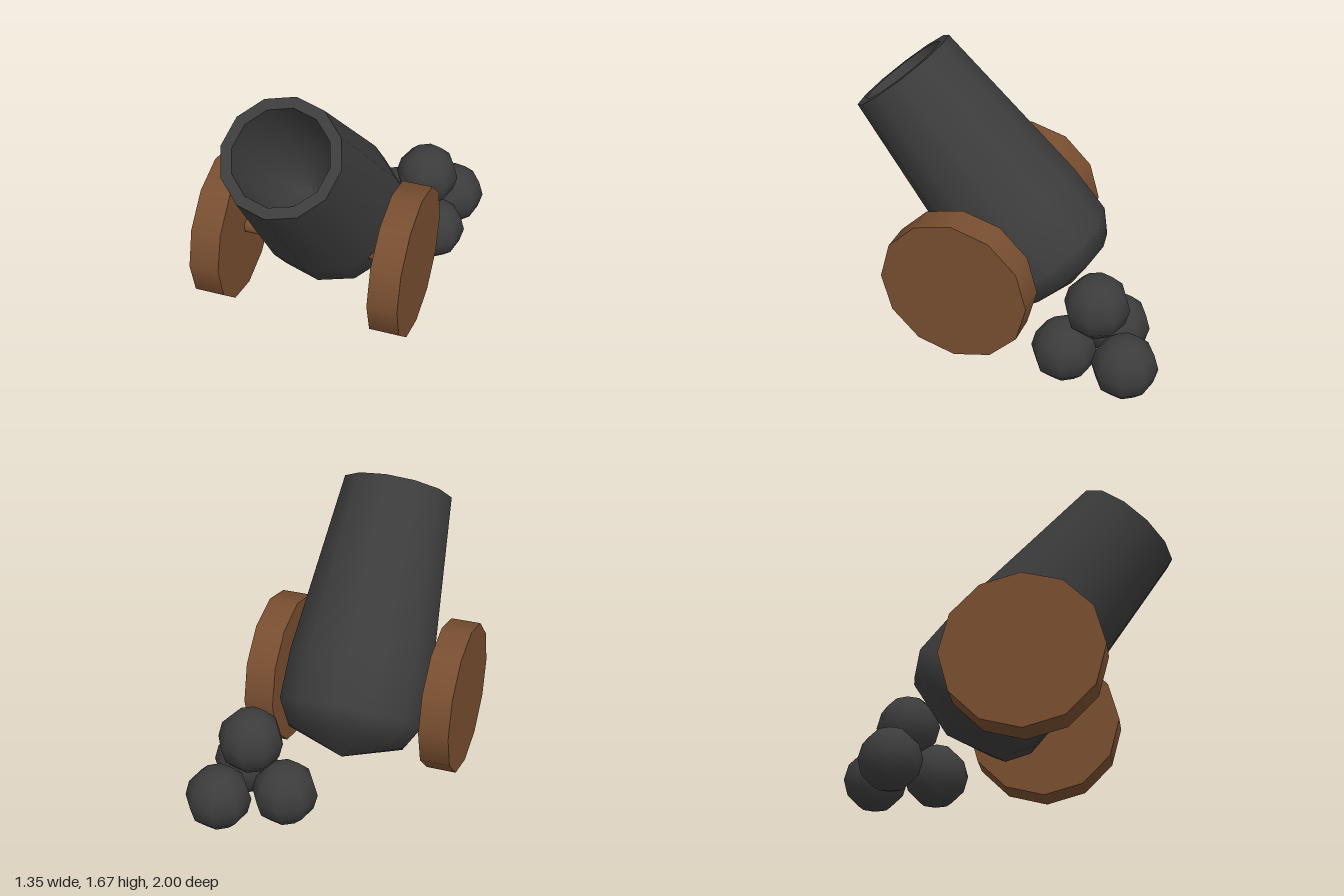
import * as THREE from 'three';

const iron = new THREE.MeshStandardMaterial({ color: 0x3c3c3c });
iron.name = 'darkIron';
const wood = new THREE.MeshStandardMaterial({ color: 0x784e30 });
wood.name = 'brownWood';

const SIDES = 12;
const CENTRE_X = -0.065;

function part(name, geometry, material, x = 0, y = 0, z = 0) {
  const mesh = new THREE.Mesh(geometry, material);
  mesh.name = name;
  mesh.position.set(x, y, z);
  return mesh;
}

const lathe = (points) =>
  new THREE.LatheGeometry(points.map(([r, y]) => new THREE.Vector2(r, y)), SIDES);

// Tapered barrel, built upright with its muzzle at the origin, then tilted forward
function createBarrel() {
  const barrel = new THREE.Group();
  barrel.name = 'barrel';
  const shell = lathe([[0, -1.61], [0.35, -1.495], [0.43, -1.36], [0.43, -1.06], [0.33, 0]]);
  const rim = new THREE.RingGeometry(0.268, 0.33, SIDES).rotateX(-Math.PI / 2);
  const bore = lathe([[0.268, 0], [0.22, -0.6], [0, -0.75]]);
  barrel.add(
    part('barrelShell', shell, iron),
    part('muzzleRim', rim, iron),
    part('bore', bore, iron)
  );
  barrel.position.set(CENTRE_X, 1.4625, 0.75);
  barrel.rotation.x = 0.705;
  return barrel;
}

// Solid wheels joined by a thin axle
function createCarriage() {
  const carriage = new THREE.Group();
  carriage.name = 'carriage';
  const wheel = new THREE.CylinderGeometry(0.445, 0.445, 0.175, SIDES).rotateZ(Math.PI / 2);
  for (const [name, side] of [['leftWheel', 1], ['rightWheel', -1]]) {
    carriage.add(part(name, wheel, wood, CENTRE_X + side * 0.5275, 0.46, 0.2));
  }
  const axle = new THREE.CylinderGeometry(0.043, 0.043, 0.95, 8).rotateZ(Math.PI / 2);
  carriage.add(part('axle', axle, wood, CENTRE_X, 0.46, 0.195));
  return carriage;
}

// Three balls on the ground with a fourth on top
function createBallPile() {
  const pile = new THREE.Group();
  pile.name = 'ballPile';
  const ball = new THREE.SphereGeometry(0.188, 8, 6);
  const places = [
    [0.15, 0.19, -0.655, 0.15],
    [0.49, 0.19, -0.812, 0.2],
    [0.465, 0.19, -0.445, 0.2],
    [0.37, 0.465, -0.6, 0.1],
  ];
  places.forEach(([x, y, z, turn], i) => {
    const mesh = part(`ball${i + 1}`, ball, iron, x, y, z);
    mesh.rotation.y = turn;
    pile.add(mesh);
  });
  return pile;
}

export function createModel() {
  const model = new THREE.Group();
  model.name = 'cannon';
  model.add(createBarrel(), createCarriage(), createBallPile());
  return model;
}
